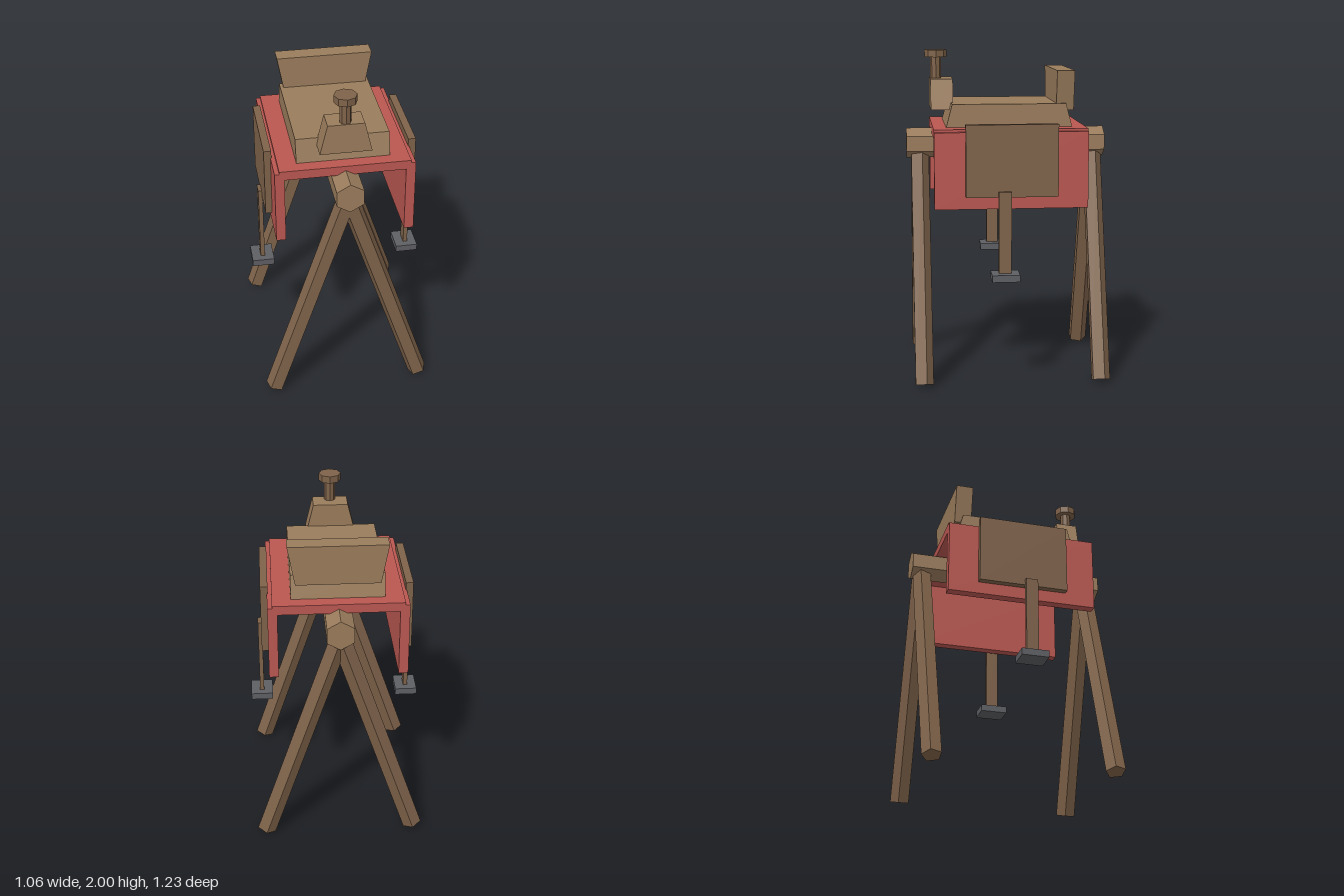
import * as THREE from 'three';

const makeMaterial = (name, color) => {
  const m = new THREE.MeshStandardMaterial({ color, flatShading: true });
  m.name = name;
  return m;
};

export function createModel() {
  const group = new THREE.Group();
  group.name = 'saddleStand';
  const paleWood = makeMaterial('paleWood', 0x9a7c5c);
  const darkWood = makeMaterial('darkWood', 0x7f634a);
  const redCloth = makeMaterial('redCloth', 0xba5751);
  const iron = makeMaterial('iron', 0x5e5f63);

  const add = (name, geometry, material, x = 0, y = 0, z = 0) => {
    const mesh = new THREE.Mesh(geometry, material);
    mesh.name = name;
    mesh.position.set(x, y, z);
    group.add(mesh);
    return mesh;
  };

  // box given by its lower and upper corners
  const box = (name, material, [x0, y0, z0], [x1, y1, z1]) =>
    add(name, new THREE.BoxGeometry(x1 - x0, y1 - y0, z1 - z0), material,
      (x0 + x1) / 2, (y0 + y1) / 2, (z0 + z1) / 2);

  // symmetric trapezoid standing on y = 0, extruded and centred along z
  const trapezoid = (bottomHalf, topHalf, height, depth) => {
    const shape = new THREE.Shape([
      new THREE.Vector2(-bottomHalf, 0), new THREE.Vector2(bottomHalf, 0),
      new THREE.Vector2(topHalf, height), new THREE.Vector2(-topHalf, height),
    ]);
    return new THREE.ExtrudeGeometry(shape, { depth, bevelEnabled: false })
      .translate(0, 0, -depth / 2);
  };

  // hexagonal beam
  add('beam', new THREE.CylinderGeometry(0.092, 0.092, 1.225, 6).rotateX(Math.PI / 2),
    paleWood, 0, 1.432, 0);

  // five-sided splayed legs
  const foot = new THREE.Vector2(0.4575, 0.022);
  const top = new THREE.Vector2(0.01, 1.364);
  const legGeometry = new THREE.CylinderGeometry(0.06, 0.06, foot.distanceTo(top), 5)
    .rotateY(Math.PI);
  const splay = Math.atan2(foot.x - top.x, top.y - foot.y);
  for (const z of [0.535, -0.54]) {
    for (const side of [1, -1]) {
      const leg = add(z > 0 ? 'frontLeg' : 'backLeg', legGeometry, darkWood,
        side * (foot.x + top.x) / 2, (foot.y + top.y) / 2, z);
      leg.rotation.z = side * splay;
    }
  }

  // cloth draped over the beam
  box('clothTop', redCloth, [-0.385, 1.495, -0.459], [0.385, 1.552, 0.457]);

  // hanging parts on both sides
  for (const side of [1, -1]) {
    const sideBox = (name, material, [x0, y0, z0], [x1, y1, z1]) =>
      side > 0 ? box(name, material, [x0, y0, z0], [x1, y1, z1])
        : box(name, material, [-x1, y0, z0], [-x0, y1, z1]);
    sideBox('clothSide', redCloth, [0.355, 1.08, -0.459], [0.412, 1.537, 0.457]);
    sideBox('saddleFlap', darkWood, [0.406, 1.155, -0.275], [0.451, 1.585, 0.273]);
    sideBox('stirrupStrap', darkWood, [0.447, 0.69, 0.006], [0.473, 1.19, 0.081]);
    sideBox('stirrup', iron, [0.392, 0.66, -0.04], [0.528, 0.702, 0.126]);
  }

  // seat with sloping front and back ends
  add('seat', trapezoid(0.38, 0.342, 0.145, 0.55).rotateY(-Math.PI / 2), paleWood, 0, 1.545, 0);

  // flared backrest and tapered pommel
  add('backrest', trapezoid(0.248, 0.292, 0.24, 0.106), paleWood, 0, 1.648, -0.338);
  add('pommel', trapezoid(0.152, 0.107, 0.183, 0.135), paleWood, 0, 1.647, 0.396);

  // horn with an octagonal cap
  add('hornStem', new THREE.CylinderGeometry(0.034, 0.034, 0.15, 8), darkWood, 0, 1.895, 0.427);
  add('hornCap', new THREE.CylinderGeometry(0.068, 0.068, 0.044, 8), darkWood, 0, 1.98, 0.427);

  return group;
}
